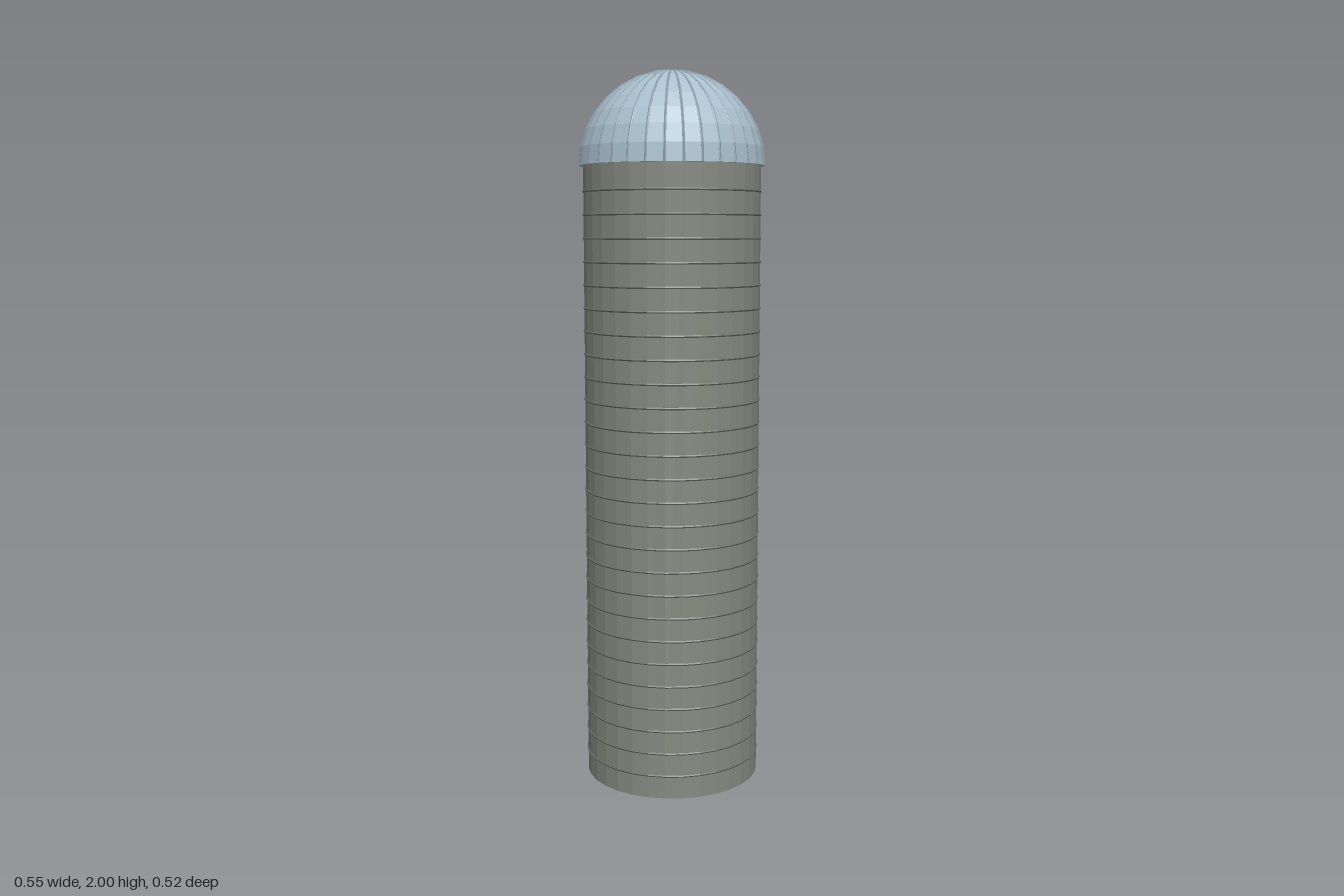
import * as THREE from 'three';

const CX = -0.018;      // silo axis, offset to balance the side pipe
const SIDES = 32;
const BODY_R = 0.247;
const BODY_H = 1.742;
const DOME_R = 0.258;

export function createModel() {
  const model = new THREE.Group();
  const wall = new THREE.MeshStandardMaterial({ color: 0x858a80, flatShading: true });
  const hoopMat = new THREE.MeshStandardMaterial({ color: 0x6c7169, flatShading: true });
  const roof = new THREE.MeshStandardMaterial({ color: 0xa9bfcc, flatShading: true });
  const ribMat = new THREE.MeshStandardMaterial({ color: 0x8a9eaa, flatShading: true });
  const pipeMat = new THREE.MeshStandardMaterial({ color: 0xdcdad4 });

  const add = (name, geometry, material, parent = model) => {
    const mesh = new THREE.Mesh(geometry, material);
    mesh.name = name;
    parent.add(mesh);
    return mesh;
  };

  const silo = new THREE.Group();
  silo.name = 'silo';
  silo.position.x = CX;
  model.add(silo);

  // Cylindrical wall
  add('wall', new THREE.CylinderGeometry(BODY_R, BODY_R, BODY_H, SIDES), wall, silo)
    .position.y = BODY_H / 2;

  // Thin hoops round the wall
  const hoops = new THREE.Group();
  hoops.name = 'hoops';
  silo.add(hoops);
  const hoopGeo = new THREE.TorusGeometry(BODY_R - 0.001, 0.004, 6, SIDES).rotateX(Math.PI / 2);
  for (let i = 1; i < 27; i++) {
    add('hoop', hoopGeo, hoopMat, hoops).position.y = i * 0.0643;
  }

  // Faceted dome, closed underneath by a flat eave
  const profile = [new THREE.Vector2(0, 0)];
  for (let i = 0; i <= 8; i++) {
    const a = (i / 8) * Math.PI / 2;
    profile.push(new THREE.Vector2(i === 8 ? 0 : DOME_R * Math.cos(a), DOME_R * Math.sin(a)));
  }
  add('dome', new THREE.LatheGeometry(profile, SIDES), roof, silo).position.y = BODY_H;

  // Seams running from the eave to the crown
  const ribs = new THREE.Group();
  ribs.name = 'domeRibs';
  ribs.position.y = BODY_H;
  silo.add(ribs);
  const ribGeo = new THREE.TorusGeometry(DOME_R - 0.002, 0.004, 6, 8, Math.PI / 2);
  for (let i = 0; i < SIDES; i++) {
    add('domeRib', ribGeo, ribMat, ribs).rotation.y = (i / SIDES) * Math.PI * 2;
  }

  // Filling pipe: up the left side, bending into the dome
  const r = 0.012, px = 0.263, pz = 0.023, top = 1.76;
  const path = new THREE.CurvePath();
  const p = (x, y) => new THREE.Vector3(x, y, pz);
  path.add(new THREE.LineCurve3(p(px, 0.2), p(px, top - 0.016)));
  path.add(new THREE.QuadraticBezierCurve3(p(px, top - 0.016), p(px, top), p(px - 0.016, top)));
  path.add(new THREE.LineCurve3(p(px - 0.016, top), p(0.21, top)));
  add('fillPipe', new THREE.TubeGeometry(path, 220, r, 12), pipeMat);
  const cap = add('pipeEnd', new THREE.CircleGeometry(r, 12), pipeMat);
  cap.rotation.x = Math.PI / 2;
  cap.position.set(px, 0.2, pz);

  return model;
}
